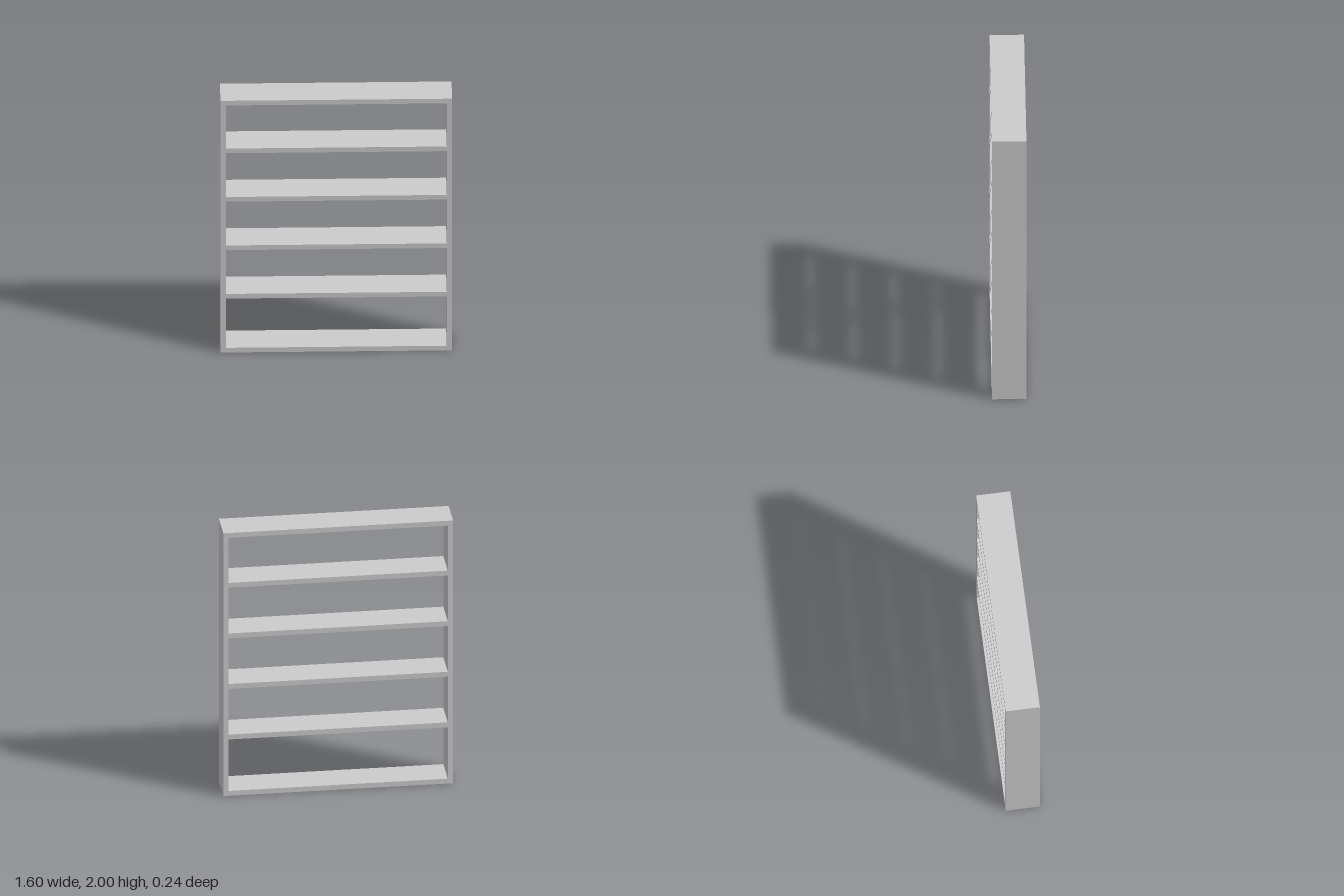
import * as THREE from 'three';

const WIDTH = 1.596, HEIGHT = 2, DEPTH = 0.238, BOARD = 0.037;

export function createModel() {
  const group = new THREE.Group();
  group.name = 'openShelf';
  const material = new THREE.MeshStandardMaterial({ color: 0xcccccc });

  // Outer frame: one solid rectangle with a rectangular opening
  const w = WIDTH / 2, i = w - BOARD;
  const outline = new THREE.Shape([
    new THREE.Vector2(-w, 0), new THREE.Vector2(w, 0),
    new THREE.Vector2(w, HEIGHT), new THREE.Vector2(-w, HEIGHT),
  ]);
  outline.holes.push(new THREE.Path([
    new THREE.Vector2(-i, BOARD), new THREE.Vector2(-i, HEIGHT - BOARD),
    new THREE.Vector2(i, HEIGHT - BOARD), new THREE.Vector2(i, BOARD),
  ]));
  const frameGeometry = new THREE.ExtrudeGeometry(outline, { depth: DEPTH, bevelEnabled: false });
  frameGeometry.translate(0, 0, -DEPTH / 2);
  const frame = new THREE.Mesh(frameGeometry, material);
  frame.name = 'frame';
  group.add(frame);

  // Four shelves, evenly spaced down from the top; the lowest bay is slightly taller
  const shelfGeometry = new THREE.BoxGeometry(WIDTH - 2 * BOARD, BOARD, DEPTH);
  for (let n = 0; n < 4; n++) {
    const shelf = new THREE.Mesh(shelfGeometry, material);
    shelf.name = `shelf${n + 1}`;
    shelf.position.y = 0.447 + n * 0.385;
    group.add(shelf);
  }
  return group;
}
